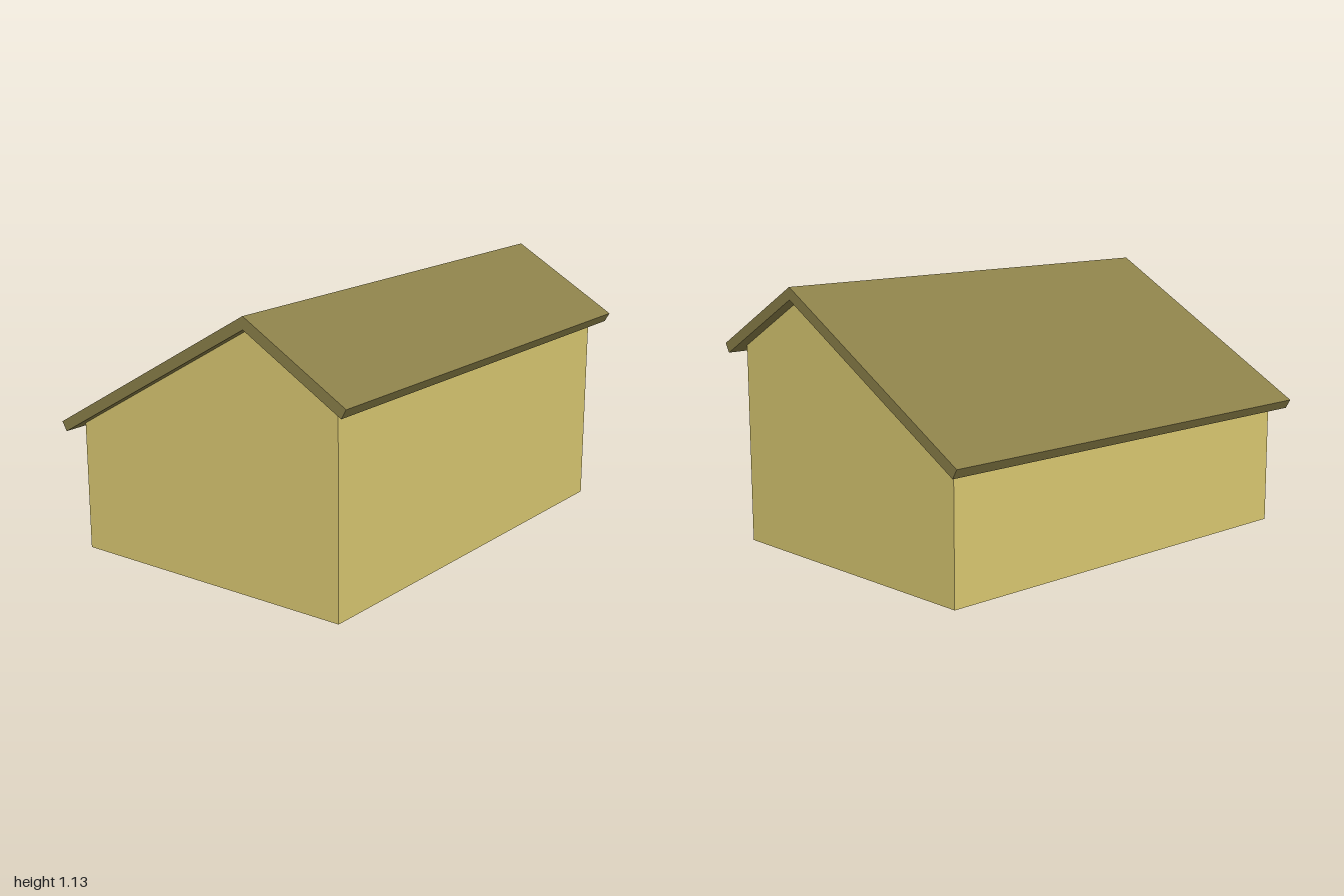
import * as THREE from 'three';

const PITCH = Math.tan(Math.PI / 6);
const RIDGE_X = 0.262, RIDGE_Y = 1.083; // underside of the ridge
const HALF_W = 0.66, HALF_L = 0.945, ROOF_HALF_L = 1;

const roofY = (x) => RIDGE_Y - Math.abs(x - RIDGE_X) * PITCH;
const shapeOf = (points) => new THREE.Shape(points.map(([x, y]) => new THREE.Vector2(x, y)));

export function createModel() {
  const model = new THREE.Group();
  const wallMat = new THREE.MeshStandardMaterial({ color: 0xdbc972, side: THREE.DoubleSide });
  const roofMat = new THREE.MeshStandardMaterial({ color: 0x8b8049, flatShading: true });
  const floorMat = new THREE.MeshStandardMaterial({ color: 0x808080, side: THREE.DoubleSide });

  const add = (name, geometry, material) => {
    const mesh = new THREE.Mesh(geometry, material);
    mesh.name = name;
    model.add(mesh);
    return mesh;
  };

  // Gable walls, front and back
  const gable = shapeOf([
    [-HALF_W, 0], [HALF_W, 0], [HALF_W, roofY(HALF_W)],
    [RIDGE_X, RIDGE_Y], [-HALF_W, roofY(-HALF_W)],
  ]);
  for (const [name, side] of [['frontWall', 1], ['backWall', -1]]) {
    const geometry = new THREE.ShapeGeometry(gable);
    if (side < 0) { // turn about y, keeping the uneven outline in place
      geometry.scale(-1, 1, 1).rotateY(Math.PI);
      geometry.setIndex(Array.from(geometry.index.array).reverse());
      geometry.computeVertexNormals();
    }
    add(name, geometry, wallMat).position.z = side * HALF_L;
  }

  // Side walls, up to the underside of the roof
  for (const [name, side] of [['leftWall', 1], ['rightWall', -1]]) {
    const height = roofY(side * HALF_W);
    const wall = add(name, new THREE.PlaneGeometry(2 * HALF_L, height), wallMat);
    wall.rotation.y = side * Math.PI / 2;
    wall.position.set(side * HALF_W, height / 2, 0);
  }

  // Floor, slightly raised above the wall bottoms
  const floor = add('floor', new THREE.PlaneGeometry(2 * HALF_W, 2 * HALF_L), floorMat);
  floor.rotation.x = Math.PI / 2;
  floor.position.y = 0.025;

  // Roof: one folded slab with eave ends square to the slopes
  const T = 0.045, dx = T * 0.5, dy = T * 0.866;
  const eaveL = -0.717, eaveR = 0.715;
  const roof = new THREE.ExtrudeGeometry(shapeOf([
    [eaveL, roofY(eaveL)], [RIDGE_X, RIDGE_Y], [eaveR, roofY(eaveR)],
    [eaveR + dx, roofY(eaveR) + dy], [RIDGE_X, RIDGE_Y + T / 0.866],
    [eaveL - dx, roofY(eaveL) + dy],
  ]), { depth: 2 * ROOF_HALF_L, bevelEnabled: false });
  roof.translate(0, 0, -ROOF_HALF_L);
  add('roof', roof, roofMat);

  return model;
}
